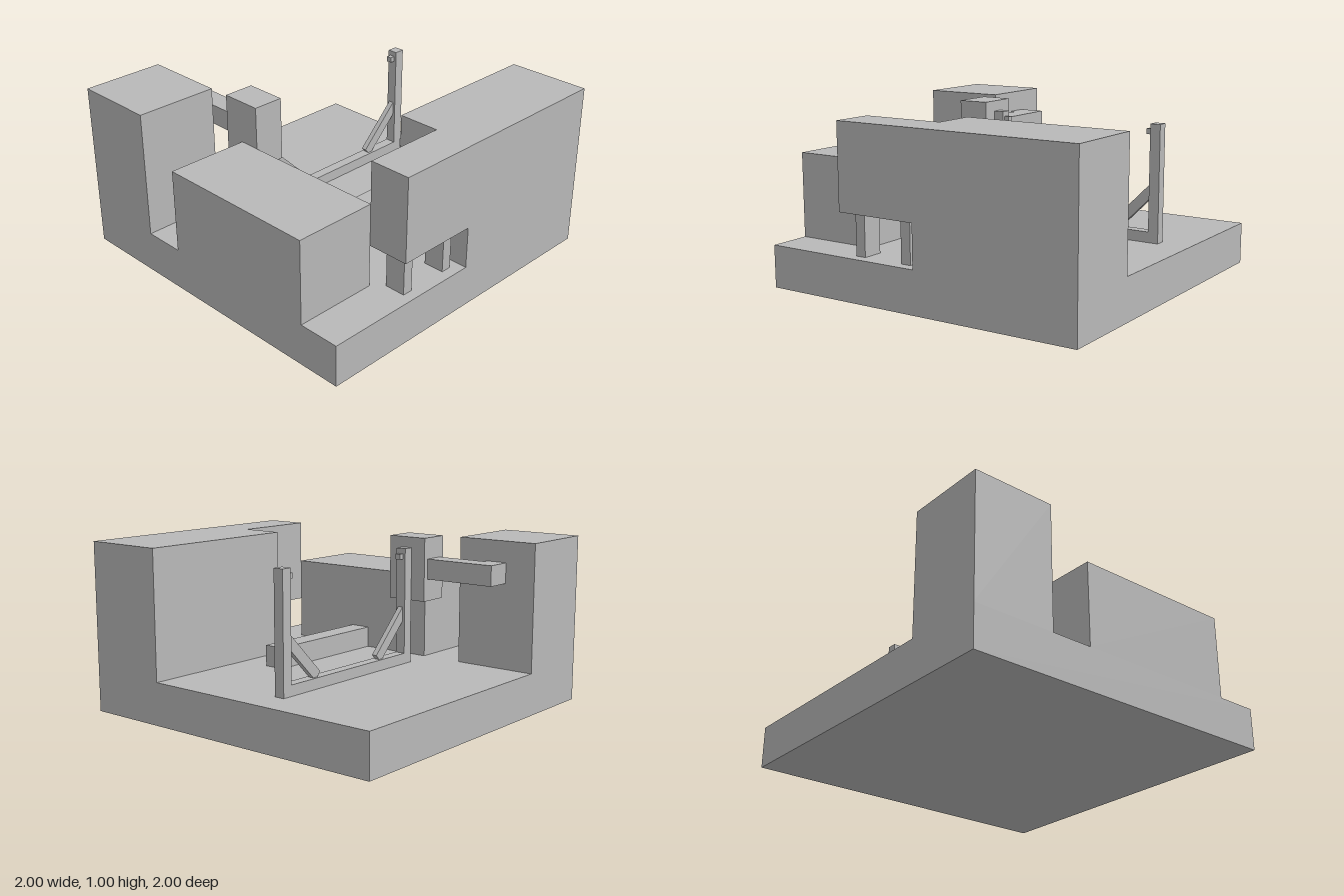
import * as THREE from 'three';

export function createModel() {
  const model = new THREE.Group();
  const stone = new THREE.MeshStandardMaterial({ color: 0xb8b8b8 });
  stone.name = 'plain grey';

  // Box given by its extents along each axis
  function block(name, [x0, x1], [y0, y1], [z0, z1]) {
    const mesh = new THREE.Mesh(new THREE.BoxGeometry(x1 - x0, y1 - y0, z1 - z0), stone);
    mesh.position.set((x0 + x1) / 2, (y0 + y1) / 2, (z0 + z1) / 2);
    mesh.name = name;
    model.add(mesh);
    return mesh;
  }

  const floor = 0.25;

  // Base and large masses
  block('base', [-1, 1], [0, floor], [-1, 1]);
  block('cornerTower', [-1, -0.5], [floor, 1], [0.5, 1]);
  block('frontBlock', [-0.25, 0.75], [floor, 0.75], [0.5, 1]);
  block('sideWall', [0.5, 1], [floor, 1], [-1, 0]);

  // Overhang carried by two slabs
  block('overhang', [0.75, 1], [0.5, 1], [0, 0.5]);
  for (const z of [0.0625, 0.375]) {
    block('overhangSupport', [0.8125, 0.9375], [floor, 0.5], [z, z + 0.0625]);
  }

  // Low beam on the floor
  block('floorBeam', [0.1875, 0.3125], [floor, 0.375], [-0.3125, 0.5]);

  // Hanging box with an L-shaped arm reaching the tower
  block('hangingBox', [-0.375, -0.125], [0.625, 1], [0.3125, 0.5]);
  block('arm', [-0.8125, -0.375], [0.755, 0.875], [0.34375, 0.46875]);
  block('armEnd', [-0.8125, -0.6875], [0.755, 0.875], [0.46875, 0.5]);

  // Timber frame: sill, two posts, pegs and braces mirrored about z = -0.25
  block('sill', [-0.28125, -0.21875], [floor, 0.3125], [-0.75, 0.25]);
  for (const s of [-1, 1]) {
    const span = (a, b) => [-0.25 + s * a, -0.25 + s * b].sort((p, q) => p - q);
    block('post', [-0.28125, -0.21875], [floor, 0.9375], span(0.5, 0.5625));
    block('peg', [-0.266, -0.234], [0.875, 0.907], span(0.469, 0.5));

    // Diagonal brace in the y-z plane
    const shape = new THREE.Shape([
      [0.25, 0.34], [0.29, 0.295], [0.5, 0.505], [0.5, 0.59],
    ].map(([d, y]) => new THREE.Vector2(-(-0.25 + s * d), y)));
    const geo = new THREE.ExtrudeGeometry(shape, { depth: 0.032, bevelEnabled: false });
    geo.rotateY(Math.PI / 2);
    const brace = new THREE.Mesh(geo, stone);
    brace.position.x = -0.266;
    brace.name = 'brace';
    model.add(brace);
  }

  return model;
}
